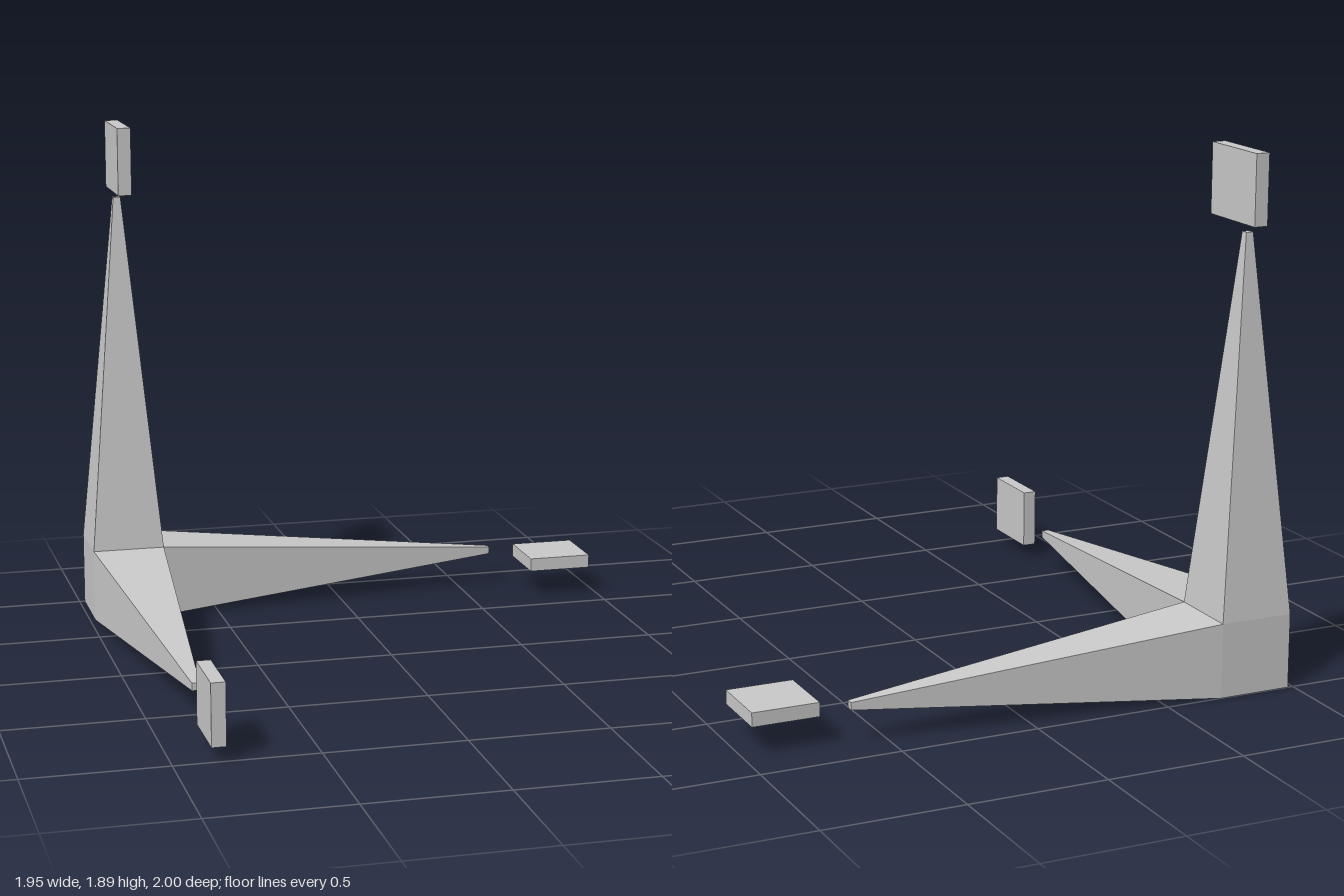
import * as THREE from 'three';

export function createModel() {
  const group = new THREE.Group();
  const material = new THREE.MeshStandardMaterial({ color: 0xcccccc, flatShading: true });
  const side = 0.27, reach = 1.475, tip = 0.027;
  const centre = new THREE.Vector3(-0.845, side / 2, -0.865);

  function add(name, geometry, position, parent = group) {
    const mesh = new THREE.Mesh(geometry, material);
    mesh.name = name;
    mesh.position.copy(position);
    parent.add(mesh);
    return mesh;
  }

  // Corner cube joining the three arms
  add('cornerBlock', new THREE.BoxGeometry(side, side, side), centre);

  // Square tapered arm, standing on the top face of the cube
  const length = reach - side / 2;
  const armGeometry = new THREE.CylinderGeometry(tip * Math.SQRT1_2, side * Math.SQRT1_2, length, 4)
    .rotateY(Math.PI / 4)
    .translate(0, side / 2 + length / 2, 0);

  const arms = [
    ['sideArm', 0, -Math.PI / 2],
    ['uprightArm', 0, 0],
    ['frontArm', Math.PI / 2, 0],
  ];
  for (const [name, rx, rz] of arms) {
    add(name, armGeometry, centre).rotation.set(rx, 0, rz);
  }

  // Plain flat end markers floating past the arm tips
  const markers = [
    ['sideMarker', [0.24, 0.05, 0.24], [0.85, 0.13, -0.73]],
    ['uprightMarker', [0.05, 0.25, 0.29], [-0.845, 1.765, -0.805]],
    ['frontMarker', [0.05, 0.22, 0.25], [-0.845, 0.16, 0.875]],
  ];
  for (const [name, size, position] of markers) {
    add(name, new THREE.BoxGeometry(...size), new THREE.Vector3(...position));
  }

  return group;
}
